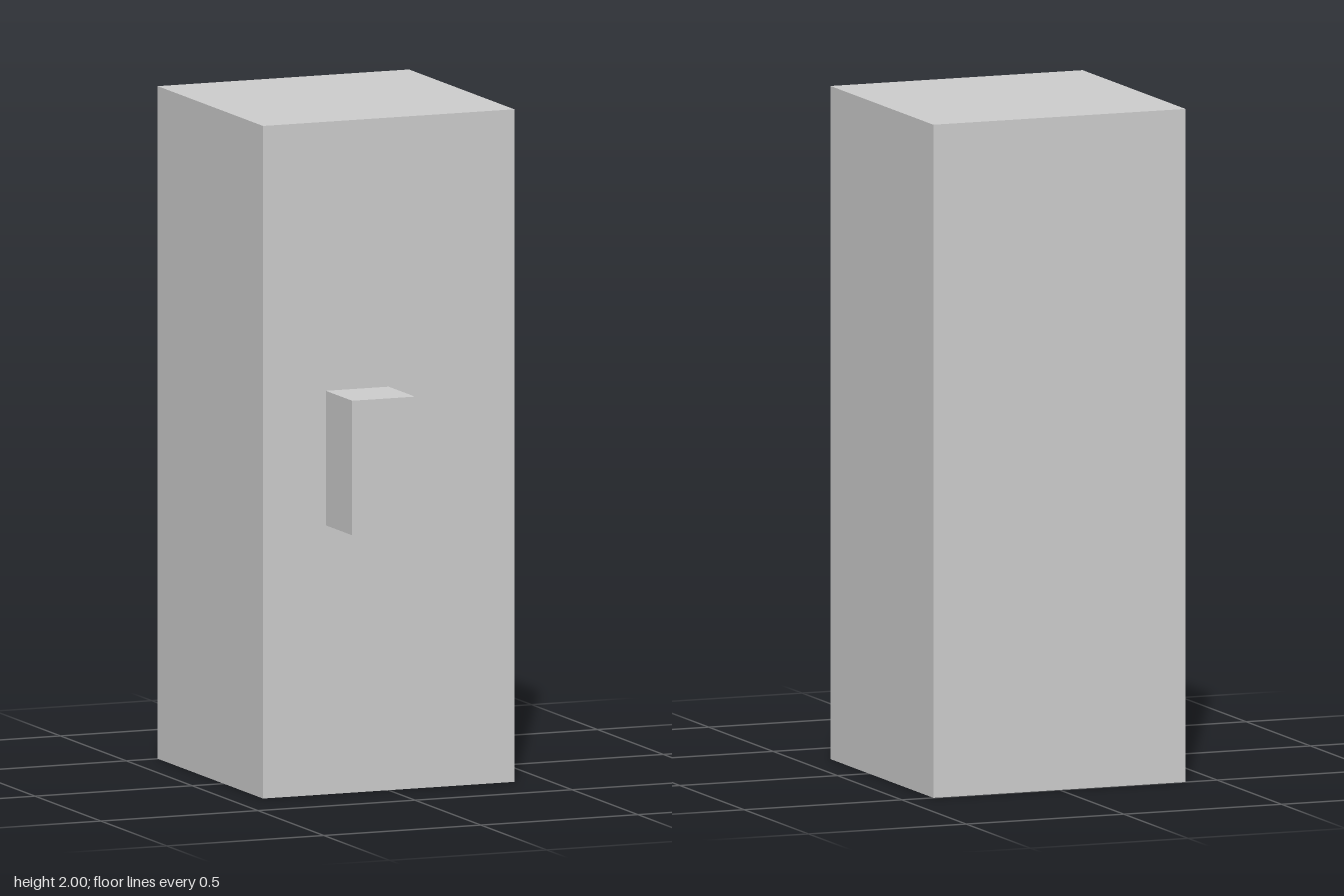
import * as THREE from 'three';

export function createModel() {
  const group = new THREE.Group();
  const material = new THREE.MeshStandardMaterial({ color: 0xcccccc, flatShading: true });

  const addBox = (name, size, position) => {
    const mesh = new THREE.Mesh(new THREE.BoxGeometry(...size), material);
    mesh.name = name;
    mesh.position.set(...position);
    group.add(mesh);
  };

  // Tall square body, standing on the ground
  addBox('body', [0.8, 2, 0.8], [0, 1, -0.1]);
  // Handle block on the front face, set off to the model's right
  addBox('handle', [0.2, 0.4, 0.2], [-0.1, 1, 0.4]);

  return group;
}
